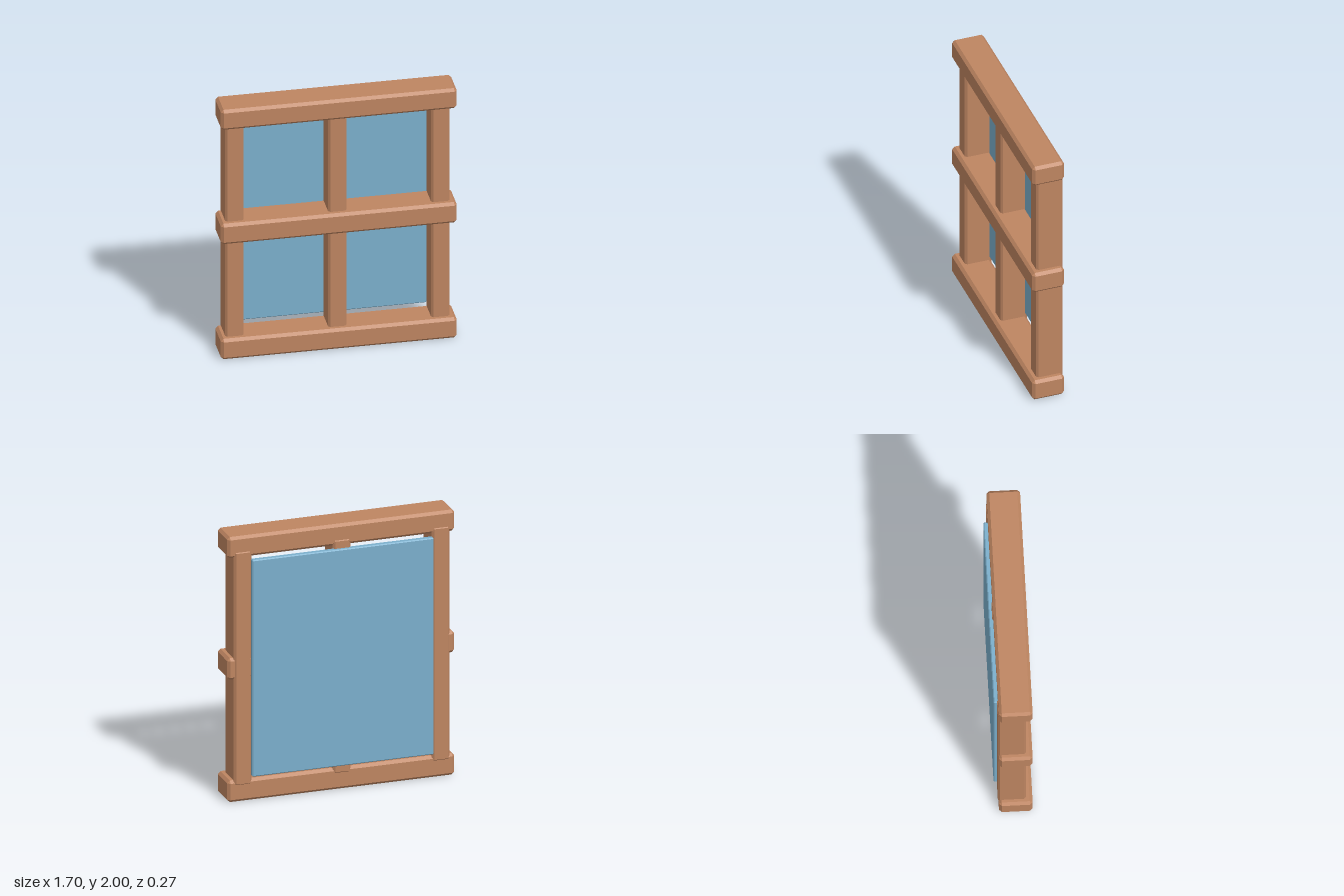
import * as THREE from 'three';
import { ConvexGeometry } from 'three/addons/geometries/ConvexGeometry.js';

// Box with flat chamfered edges, given by its min and max corners
function chamferBox(min, max, c) {
  const half = max.map((v, i) => (v - min[i]) / 2);
  const points = [];
  for (const sx of [-1, 1]) for (const sy of [-1, 1]) for (const sz of [-1, 1]) {
    for (let axis = 0; axis < 3; axis++) {
      const p = [sx, sy, sz].map((s, i) => s * (half[i] - (i === axis ? 0 : c)));
      points.push(new THREE.Vector3(...p));
    }
  }
  const geometry = new ConvexGeometry(points);
  geometry.translate(...min.map((v, i) => v + half[i]));
  return geometry;
}

export function createModel() {
  const group = new THREE.Group();
  const wood = new THREE.MeshStandardMaterial({ color: 0xbe8561 });
  wood.name = 'wood';
  const glass = new THREE.MeshStandardMaterial({ color: 0x7bafcc });
  glass.name = 'glass';

  const add = (name, material, min, max, c) => {
    const mesh = new THREE.Mesh(chamferBox(min, max, c), material);
    mesh.name = name;
    group.add(mesh);
  };

  // Horizontal rails
  for (const [name, y0, y1] of [
    ['bottomRail', 0, 0.163], ['middleRail', 0.923, 1.086], ['topRail', 1.84, 2],
  ]) add(name, wood, [-0.848, y0, -0.104], [0.848, y1, 0.134], 0.02);

  // Vertical posts, set back from the rails
  for (const [name, x] of [['rightPost', -0.742], ['centrePost', -0.003], ['leftPost', 0.737]]) {
    add(name, wood, [x - 0.066, 0.12, -0.11], [x + 0.066, 1.89, 0.09], 0.015);
  }

  // Single pane behind the posts
  add('pane', glass, [-0.68, 0.187, -0.134], [0.675, 1.821, -0.09], 0.007);

  return group;
}
